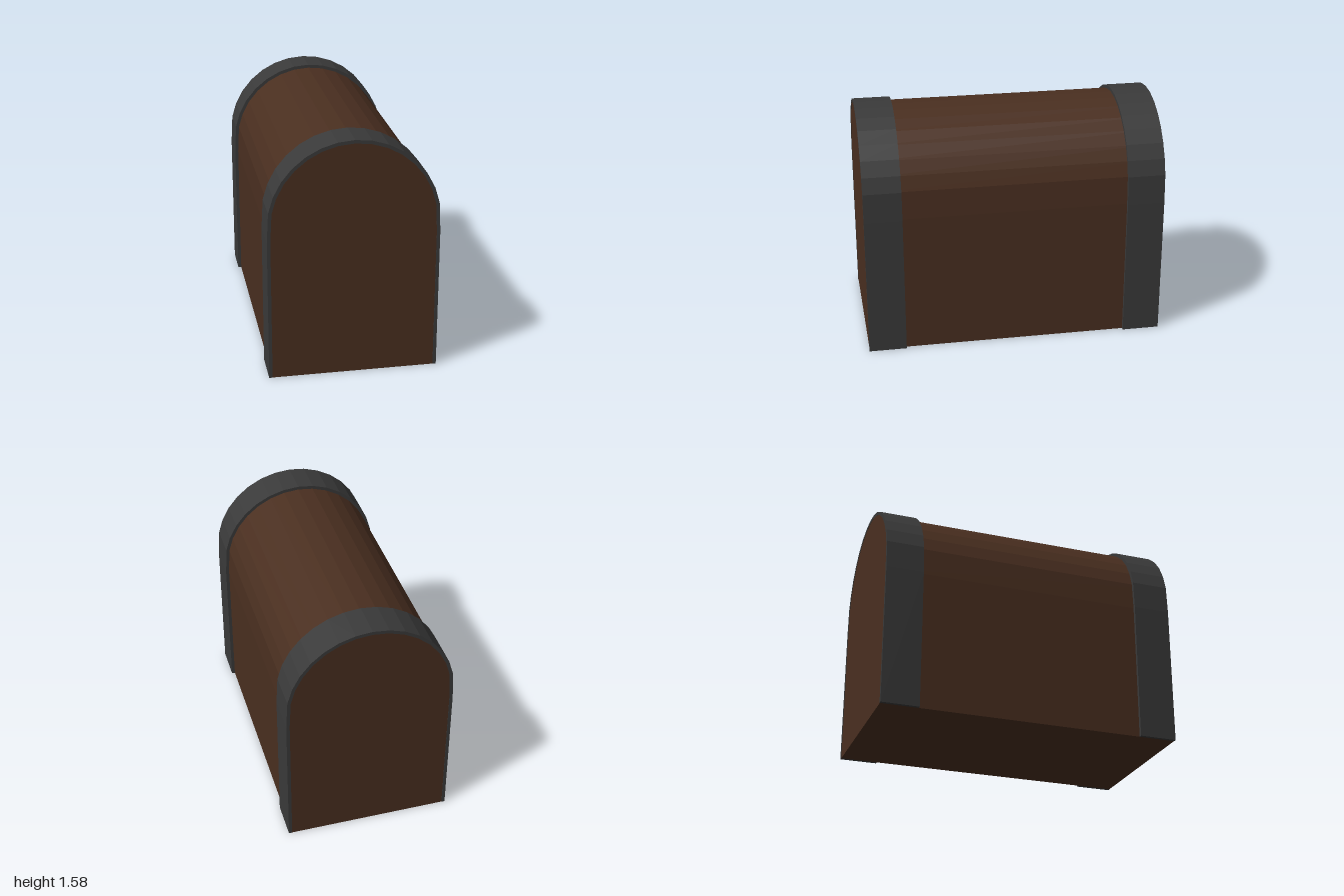
import * as THREE from 'three';

const SEAM = 0.94, SPRING = 1.025, STEPS = 16;
const wood = new THREE.MeshStandardMaterial({ color: 0x4a2f20, flatShading: true });
const iron = new THREE.MeshStandardMaterial({ color: 0x3a3a3a, flatShading: true });

// Lid outline from the right seam over the top to the left seam
function arch(r) {
  const pts = [new THREE.Vector2(r, SEAM)];
  for (let i = 1; i < STEPS; i++) {
    const a = (i / STEPS) * Math.PI;
    pts.push(new THREE.Vector2(r * Math.cos(a), SPRING + r * Math.sin(a)));
  }
  pts.push(new THREE.Vector2(-r, SEAM));
  return pts;
}

// Extrudes an outline along z between two depths
function slab(name, pts, z0, z1, material) {
  const geo = new THREE.ExtrudeGeometry(new THREE.Shape(pts), { depth: z1 - z0, bevelEnabled: false });
  geo.translate(0, 0, z0);
  const mesh = new THREE.Mesh(geo, material);
  mesh.name = name;
  return mesh;
}

function box(name, w, h, d, x, y, z, material) {
  const mesh = new THREE.Mesh(new THREE.BoxGeometry(w, h, d), material);
  mesh.name = name;
  mesh.position.set(x, y, z);
  return mesh;
}

export function createModel() {
  const chest = new THREE.Group();
  chest.name = 'chest';
  const inner = 0.528, outer = 0.55;

  // Wooden base and rounded lid
  chest.add(box('base', inner * 2, SEAM, 1.996, 0, SEAM / 2, 0, wood));
  chest.add(slab('lid', arch(inner), -0.998, 0.998, wood));

  // Iron bands at both ends: a curved strap on the lid, straight straps on the base
  for (const end of [1, -1]) {
    const band = new THREE.Group();
    band.name = end > 0 ? 'frontBand' : 'backBand';
    const ring = [...arch(outer), ...arch(inner).reverse()];
    band.add(slab('lidStrap', ring, end > 0 ? 0.75 : -1, end > 0 ? 1 : -0.75, iron));
    for (const side of [1, -1]) {
      band.add(box(side > 0 ? 'leftStrap' : 'rightStrap', outer - inner, SEAM, 0.25,
        side * (outer + inner) / 2, SEAM / 2, end * 0.875, iron));
    }
    chest.add(band);
  }
  return chest;
}
